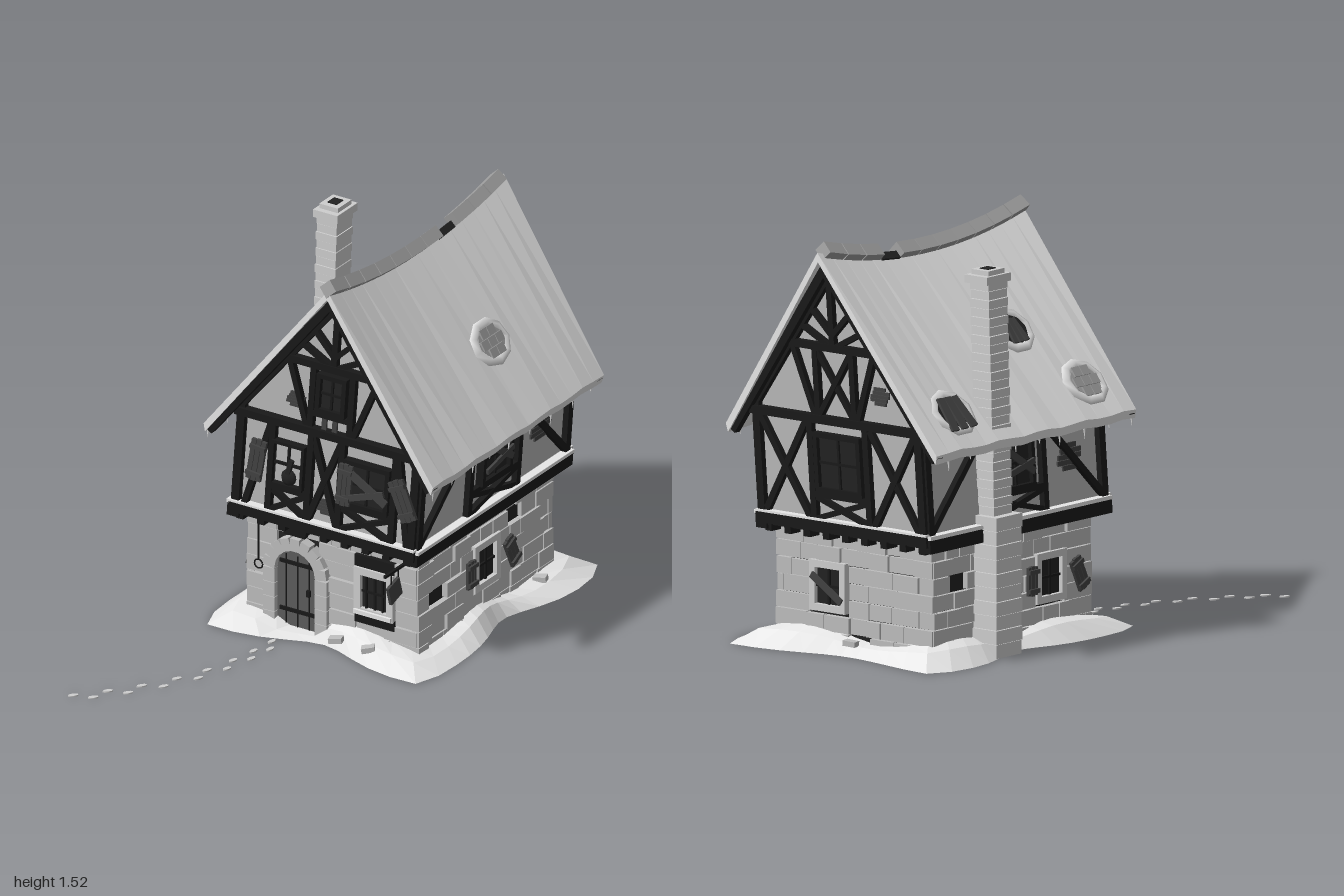
import * as THREE from 'three';

const mat = (name, color) => {
  const m = new THREE.MeshStandardMaterial({ color });
  m.name = name;
  return m;
};
const M = {
  snow: mat('snow', 0xf2f2f2), stone: mat('stone', 0xbebebe), brick: mat('chimneyBrick', 0xcecece),
  plaster: mat('plaster', 0xb8b8b8), timber: mat('timber', 0x191919), door: mat('doorWood', 0x5c5c5c),
  plank: mat('shutterWood', 0x424242), dark: mat('darkOpening', 0x222222), tile: mat('roofTile', 0xa0a0a0),
};
const CZ = -0.385, LEAN = 0.075, PI = Math.PI;
let seed = 7;
const rnd = (a, b) => {
  seed = (seed * 16807) % 2147483647;
  return a + (b - a) * seed / 2147483647;
};

function add(parent, name, geo, m, x = 0, y = 0, z = 0) {
  const o = new THREE.Mesh(geo, m);
  o.name = name;
  o.position.set(x, y, z);
  parent.add(o);
  return o;
}
function box(parent, name, m, w, h, d, x, y, z, rz = 0) {
  const o = add(parent, name, new THREE.BoxGeometry(w, h, d), m, x, y, z);
  o.rotation.z = rz;
  return o;
}
// timber between two points of a wall plane
function beam(p, x1, y1, x2, y2, w = 0.03, z = 0.006, d = 0.034, m = M.timber) {
  return box(p, 'timberBeam', m, Math.hypot(x2 - x1, y2 - y1), w, d, (x1 + x2) / 2, (y1 + y2) / 2, z, Math.atan2(y2 - y1, x2 - x1));
}
function cross(p, x1, y1, x2, y2, w = 0.02) {
  beam(p, x1, y1, x2, y2, w);
  beam(p, x1, y2, x2, y1, w, 0.004);
}
function group(parent, name, x = 0, y = 0, z = 0, ry = 0) {
  const g = new THREE.Group();
  g.name = name;
  g.position.set(x, y, z);
  g.rotation.y = ry;
  parent.add(g);
  return g;
}
// four wall frames whose local z points outward
const walls = (parent, name, hx, hz) => ({
  front: group(parent, name + 'Front', 0, 0, CZ + hz), right: group(parent, name + 'LeftSide', hx, 0, CZ, PI / 2),
  back: group(parent, name + 'Back', 0, 0, CZ - hz, PI), left: group(parent, name + 'RightSide', -hx, 0, CZ, -PI / 2),
});
// skin over rings of points, either closed round or with fan caps
function loft(rings, closed) {
  const n = rings[0].length, pos = rings.flat(2), idx = [], R = rings.length;
  for (let k = 0; k < (closed ? R : R - 1); k++) for (let i = 0; i < n; i++) {
    const j = (i + 1) % n, q = ((k + 1) % R) * n, a = k * n;
    idx.push(a + i, a + j, q + j, a + i, q + j, q + i);
  }
  if (!closed) for (let i = 1; i < n - 1; i++) {
    const l = (R - 1) * n;
    idx.push(0, i + 1, i, l, l + i, l + i + 1);
  }
  const g = new THREE.BufferGeometry();
  g.setAttribute('position', new THREE.Float32BufferAttribute(pos, 3));
  g.setIndex(idx);
  const f = g.toNonIndexed();
  f.computeVertexNormals();
  return f;
}
// stone courses, leaving out rectangles [x1, x2, y1, y2]
function masonry(wall, half, holes) {
  const rows = 7, h = 0.44 / rows;
  for (let r = 0; r < rows; r++) {
    const y = (r + 0.5) * h;
    let x = -half;
    const cuts = holes.filter(o => y > o[2] && y < o[3]).sort((a, b) => a[0] - b[0]);
    for (const [end, next] of [...cuts.map(o => [o[0], o[1]]), [half, half]]) {
      while (x < end - 0.012) {
        let w = rnd(0.06, 0.14);
        if (end - x - w < 0.05) w = end - x;
        const d = rnd(0.022, 0.034);
        box(wall, 'wallStone', M.stone, w - 0.003, h - rnd(0.002, 0.006), d, x + w / 2, y, d / 2 - 0.01);
        x += w;
      }
      x = next;
    }
  }
}
function shutter(p, x, y, w, h, rz = 0) {
  const g = group(p, 'shutter', x, y, 0.035);
  g.rotation.z = rz;
  for (let i = -1; i <= 1; i++) box(g, 'shutterPlank', M.plank, w / 3 - 0.002, h - 0.006 * Math.abs(i), 0.012, i * w / 3, 0, 0);
  for (const s of [-1, 1]) box(g, 'shutterBatten', M.plank, w, 0.016, 0.01, 0, s * h * 0.32, 0.01);
}
function windowAt(p, x, y, w, h, frame, t = 0.018) {
  const g = group(p, 'window', x, y, 0.006);
  box(g, 'windowPane', M.dark, w, h, 0.009, 0, 0, 0.004);
  for (const s of [-1, 1]) {
    box(g, 'windowFrameSide', frame, t, h + t, 0.035, s * w / 2, 0, 0.008);
    box(g, 'windowFrameRail', frame, w + t, t, 0.035, 0, s * h / 2, 0.008);
  }
  box(g, 'mullion', M.timber, 0.009, h, 0.012, 0, 0, 0.01);
  box(g, 'mullionRail', M.timber, w, 0.009, 0.012, 0, 0, 0.01);
  return g;
}
// bare oval of bricks where plaster has fallen off
function brickPatch(p, x, y, k = 1) {
  const g = group(p, 'exposedBricks', x, y, 0.003);
  for (let i = -2; i <= 2; i++) box(g, 'exposedBrick', M.plank, k * (0.085 - 0.008 * i * i), k * 0.012, 0.008, k * 0.006 * (i % 2), i * 0.0135 * k, 0);
}

function groundFloor(root) {
  const g = group(root, 'groundFloor');
  box(g, 'floorSlab', M.dark, 0.72, 0.02, 0.88, 0, 0.43, CZ);
  const W = walls(g, 'stoneWall', 0.35, 0.43);
  for (const [k, w] of Object.entries(W)) box(w, 'wallCore', M.dark, k === 'front' || k === 'back' ? 0.7 : 0.86, 0.43, 0.02, 0, 0.215, -0.01);
  masonry(W.front, 0.367, [[-0.285, -0.015, -1, 0.27], [-0.24, -0.06, 0.27, 0.36], [0.1, 0.27, 0.1, 0.375]]);
  masonry(W.right, 0.447, [[-0.08, 0.08, 0.15, 0.3], [-0.37, -0.26, 0.2, 0.26], [0.15, 0.24, 0.33, 0.39]]);
  masonry(W.back, 0.367, [[-0.21, -0.03, 0.15, 0.3], [-0.03, 0.07, 0.02, 0.06]]);
  masonry(W.left, 0.447, [[0.13, 0.29, 0.15, 0.3], [-0.35, -0.26, 0.26, 0.32]]);
  for (const [w, x] of [[W.right, 0], [W.back, -0.12], [W.left, 0.21]]) {
    windowAt(w, x, 0.23, 0.142, 0.16, M.brick, 0.026);
    if (w === W.back) beam(w, x - 0.07, 0.27, x + 0.07, 0.18, 0.025, 0.035, 0.01, M.plank);
    else {
      shutter(w, x - 0.118, 0.23, 0.055, 0.11);
      shutter(w, x + 0.15, 0.22, 0.06, 0.13, 0.45);
    }
  }
  // arched door with stone surround
  const F = W.front, s = new THREE.Shape();
  s.moveTo(-0.088, 0).lineTo(0.088, 0).lineTo(0.088, 0.235).absarc(0, 0.235, 0.088, 0, PI).closePath();
  add(F, 'door', new THREE.ExtrudeGeometry(s, { depth: 0.015, bevelEnabled: false }), M.door, -0.15, 0, 0);
  for (const y of [0.075, 0.265]) box(F, 'doorHinge', M.timber, 0.15, 0.014, 0.008, -0.15, y, 0.018);
  for (const x of [-0.05, 0, 0.05]) box(F, 'doorSeam', M.timber, 0.004, 0.29, 0.004, -0.15 + x, 0.15, 0.016);
  box(F, 'doorHandle', M.timber, 0.015, 0.025, 0.014, -0.1, 0.16, 0.02);
  for (let i = 0; i < 9; i++) {
    const a = (i + 0.5) * PI / 9;
    box(F, 'archStone', M.stone, 0.05, 0.039, 0.05, -0.15 + 0.111 * Math.cos(a), 0.235 + 0.111 * Math.sin(a), 0.012, a);
  }
  for (const side of [-1, 1]) for (let i = 0; i < 4; i++) box(F, 'jambStone', M.stone, 0.05, 0.056, 0.05, -0.15 + side * 0.112, 0.029 + i * 0.058, 0.012);
  // front window with bars, dark lintel and sill
  const win = windowAt(F, 0.185, 0.235, 0.14, 0.16, M.brick, 0.028);
  for (const x of [-0.035, 0.035]) box(win, 'windowBar', M.timber, 0.006, 0.15, 0.01, x, 0, 0.014);
  box(F, 'windowLintel', M.timber, 0.17, 0.045, 0.03, 0.185, 0.352, 0.008);
  box(F, 'windowSill', M.timber, 0.17, 0.04, 0.03, 0.185, 0.125, 0.008);
  box(F, 'sillSnow', M.snow, 0.16, 0.016, 0.045, 0.185, 0.155, 0.02);
  // hanging sign, lantern ring and bracket over the door
  box(F, 'signBracket', M.timber, 0.01, 0.01, 0.15, 0.315, 0.39, 0.08);
  const sign = box(F, 'hangingSign', M.plank, 0.012, 0.075, 0.075, 0.315, 0.31, 0.09);
  sign.rotation.x = 0.3;
  for (const z of [0.065, 0.11]) box(F, 'signChain', M.timber, 0.004, 0.05, 0.004, 0.315, 0.365, z);
  box(F, 'lampChain', M.timber, 0.005, 0.16, 0.005, -0.31, 0.33, 0.03);
  add(F, 'lampRing', new THREE.TorusGeometry(0.018, 0.003, 5, 12), M.timber, -0.31, 0.23, 0.03);
  box(F, 'doorBracket', M.timber, 0.09, 0.04, 0.04, -0.15, 0.405, 0.02);
}

function upperFloor(root) {
  const W = walls(root, 'timberWall', 0.38, 0.495);
  box(root, 'jettyFloor', M.timber, 0.76, 0.03, 0.99, 0, 0.45, CZ);
  const s = new THREE.Shape([[-0.38, 0.45], [0.38, 0.45], [0.38, 0.9], [0, 1.4], [-0.38, 0.9]].map(p => new THREE.Vector2(...p)));
  for (const [w, bargeZ] of [[W.front, 0.065], [W.back, 0.033]]) {
    add(w, 'gablePlaster', new THREE.ExtrudeGeometry(s, { depth: 0.03, bevelEnabled: false }), M.plaster, 0, 0, -0.03);
    beam(w, -0.4, 0.465, 0.4, 0.465, 0.04, 0.005, 0.05);
    beam(w, -0.4, 0.858, 0.4, 0.858, 0.03, 0.012, 0.045);
    beam(w, -0.2, 1.125, 0.2, 1.125, 0.028, 0.01);
    beam(w, 0, 1.12, 0, 1.4, 0.024);
    box(w, 'ledgeSnow', M.snow, 0.8, 0.008, 0.04, 0, 0.489, 0.012);
    for (const m of [-1, 1]) {
      beam(w, m * 0.378, 0.45, m * 0.378, 0.9, 0.032);
      beam(w, m * 0.38, 0.885, 0, 1.39, 0.03);
      beam(w, m * 0.478, 0.775, 0, 1.418, 0.038, bargeZ, 0.03);
      beam(w, m * 0.15, 1.2, m * 0.015, 1.13, 0.02);
      beam(w, m * 0.1, 1.27, 0, 1.17, 0.02);
      beam(w, m * 0.085, 0.86, m * 0.085, 1.12, 0.024);
      beam(w, m * 0.1, 0.87, m * 0.19, 1.12, 0.022);
    }
    for (let i = 0; i < 9; i++) box(w, 'joistEnd', M.timber, 0.03, 0.035, 0.07, -0.36 + i * 0.09, 0.432, -0.025);
  }
  const F = W.front, B = W.back;
  // front storey
  for (const x of [-0.24, -0.075, 0.06, 0.29]) beam(F, x, 0.48, x, 0.85, 0.025);
  cross(F, -0.07, 0.49, 0.055, 0.84, 0.024);
  for (const [a, b] of [[-0.235, -0.08], [0.065, 0.285]]) {
    beam(F, a, 0.59, b, 0.59, 0.022);
    cross(F, a, 0.49, b, 0.58);
  }
  beam(F, -0.25, 0.84, -0.34, 0.49, 0.024);
  beam(F, 0.3, 0.84, 0.36, 0.49, 0.024);
  windowAt(F, -0.165, 0.69, 0.13, 0.17, M.timber, 0.012);
  for (const [x, y] of [[-0.195, 0.732], [-0.134, 0.732], [-0.195, 0.65], [-0.134, 0.65]]) box(F, 'frostedPane', M.plaster, 0.048, 0.068, 0.008, x, y, 0.0125);
  add(F, 'windowJug', new THREE.SphereGeometry(0.034, 8, 6), M.dark, -0.16, 0.64, 0.015).scale.z = 0.5;
  box(F, 'jugNeck', M.dark, 0.018, 0.06, 0.02, -0.155, 0.685, 0.02, -0.2);
  windowAt(F, 0.175, 0.69, 0.18, 0.17, M.timber);
  beam(F, 0.09, 0.75, 0.27, 0.65, 0.03, 0.038, 0.01, M.plank);
  beam(F, 0.09, 0.63, 0.26, 0.69, 0.024, 0.04, 0.01, M.plank);
  shutter(F, -0.29, 0.685, 0.065, 0.17, -0.1);
  shutter(F, 0.09, 0.685, 0.06, 0.17, -0.03);
  shutter(F, 0.34, 0.685, 0.07, 0.17, 0.45);
  // gable window and worn plaster
  windowAt(F, 0, 1.02, 0.11, 0.14, M.timber);
  beam(F, -0.085, 0.93, 0.085, 0.93, 0.022);
  for (const x of [-0.025, 0.02]) box(F, 'hangingBoard', M.plank, 0.02, 0.07, 0.009, x, 0.895, 0.016);
  for (const [x, y] of [[-0.16, 0.955], [0, 0.555], [0.16, 0.6]]) brickPatch(F, x, y, 0.9);
  // back storey
  for (const m of [-1, 1]) {
    beam(B, m * 0.13, 0.48, m * 0.13, 0.85, 0.026);
    cross(B, m * 0.15, 0.49, m * 0.36, 0.84, 0.024);
  }
  beam(B, -0.13, 0.58, 0.13, 0.58, 0.022);
  cross(B, -0.12, 0.49, 0.12, 0.57);
  cross(B, -0.08, 0.87, 0.08, 1.11);
  windowAt(B, 0, 0.7, 0.2, 0.2, M.timber);
  brickPatch(B, 0.2, 0.97);
  // long sides
  for (const w of [W.right, W.left]) {
    box(w, 'sidePlaster', M.plaster, 0.98, 0.43, 0.03, 0, 0.665, -0.015);
    beam(w, -0.515, 0.448, 0.515, 0.448, 0.05, 0.005, 0.05);
    beam(w, -0.5, 0.79, 0.5, 0.79, 0.03);
    box(w, 'ledgeSnow', M.snow, 1.03, 0.014, 0.045, 0, 0.48, 0.012);
    for (const m of [-1, 1]) {
      beam(w, m * 0.49, 0.46, m * 0.49, 0.85, 0.03);
      beam(w, m * 0.16, 0.48, m * 0.16, 0.8, 0.026);
      beam(w, m * 0.19, 0.79, m * 0.48, 0.5, 0.024);
    }
    windowAt(w, 0, 0.68, 0.18, 0.18, M.timber);
    beam(w, -0.085, 0.75, 0.085, 0.64, 0.026, 0.036, 0.01, M.plank);
    beam(w, -0.085, 0.64, 0.085, 0.68, 0.022, 0.038, 0.01, M.plank);
    beam(w, -0.15, 0.575, 0.15, 0.575, 0.022);
    cross(w, -0.15, 0.49, 0.15, 0.565);
    brickPatch(w, 0.32, 0.655, 1.5);
  }
}

const ridgeY = z => 1.41 + 0.07 * ((z + 0.365) / 0.565) ** 2;
const SLOPE = Math.atan2(0.63, 0.495);
function roof(root) {
  const g = group(root, 'roof'), rings = [];
  for (let k = 0; k <= 16; k++) {
    const z = 0.195 - k * 1.13 / 16, zr = -0.365 + (z + 0.365) * 1.03, y = ridgeY(z), e = 0.8 + 0.004 * Math.sin(k * 1.9), w = 0.495;
    rings.push([[0, y, zr], [w, e, z], [w - 0.008, e - 0.032, z], [0, y - 0.035, zr], [-w + 0.008, e - 0.032, z], [-w, e, z]]);
  }
  add(g, 'snowyRoof', loft(rings, false), M.snow);
  for (let i = 0; i < 11; i++) {
    const z = 0.162 - i * 0.1033, gap = i === 7;
    const t = gap ? box(g, 'ridgeGap', M.dark, 0.03, 0.03, 0.1, 0, ridgeY(z) - 0.012, z, PI / 4) : box(g, 'ridgeTile', M.tile, 0.05, 0.05, 0.1, 0, ridgeY(z) + 0.006, z, PI / 4);
    t.rotation.x = -Math.atan(0.14 * (z + 0.365) / 0.565 ** 2);
  }
  // bare patches in the snow: side, distance down the slope, z, plank size where broken through
  for (const [side, t, z, open] of [[1, 0.57, -0.48, 0], [-1, 0.82, 0.02, 0], [-1, 0.82, -0.73, 0.045], [-1, 0.49, -0.18, 0.026]]) {
    const p = group(g, 'roofPatch', side * 0.495 * t, ridgeY(z) * (1 - t) + 0.8 * t, z);
    p.rotation.z = -side * SLOPE;
    add(p, 'patchBase', new THREE.CylinderGeometry(0.075, 0.075, 0.009, 9), open ? M.dark : M.tile, 0, 0.003, 0).scale.x = 0.8;
    const rim = add(p, 'patchSnowRim', new THREE.TorusGeometry(0.088, 0.025, 4, 9), M.snow, 0, 0.001, 0);
    rim.rotation.x = PI / 2;
    rim.scale.set(0.85, 1, 0.5);
    for (let r = -1; r <= 1; r++) {
      if (open) {
        const b = box(p, 'brokenPlank', M.plank, 0.05 + open * 1.8, 0.01, open * 0.8, side * 0.01, 0.015, r * open, side * r * 0.05);
        b.rotation.y = 0.08 * r;
      } else for (let c = 0; c < 3 - Math.abs(r); c++) box(p, 'roofTile', M.tile, 0.037, 0.008, 0.042, r * 0.04, 0.01, (c - (2 - Math.abs(r)) / 2) * 0.045, -side * 0.08);
    }
  }
  for (const m of [-1, 1]) for (let i = 0; i < 9; i++) {
    const h = rnd(0.02, 0.05);
    add(g, 'icicle', new THREE.ConeGeometry(0.005, h, 5), M.snow, m * 0.482, 0.772 - h / 2, 0.17 - i * 0.13 + rnd(-0.02, 0.02)).rotation.x = PI;
  }
}

function chimney(root) {
  const g = group(root, 'chimney');
  for (let i = 0; i < 10; i++) box(g, 'chimneyBaseStone', M.brick, 0.112 + 0.006 * (i % 2), 0.05, 0.14 + 0.006 * (i % 2), -0.416, 0.026 + i * 0.052, -0.53);
  for (let i = 0; i < 26; i++) {
    const e = 0.005 * (i % 2) + rnd(0, 0.003);
    box(g, 'chimneyCourse', M.brick, 0.082 + e, 0.031, 0.1 + e, -0.403 + i * 0.00105, 0.535 + i * 0.033, -0.53);
  }
  box(g, 'chimneyCap', M.brick, 0.105, 0.03, 0.135, -0.377, 1.385, -0.535);
  box(g, 'chimneyTop', M.brick, 0.08, 0.02, 0.09, -0.377, 1.408, -0.535);
  box(g, 'chimneyFlue', M.dark, 0.04, 0.006, 0.045, -0.377, 1.418, -0.535);
}

function ground(root) {
  const rings = [];
  for (let k = 0; k < 48; k++) {
    const a = -k * 2 * PI / 48, c = Math.cos(a), s = Math.sin(a), r = Math.min(0.36 / (Math.abs(c) + 1e-6), 0.445 / (Math.abs(s) + 1e-6));
    const o = 0.125 + 0.06 * Math.cos(4 * (a - 0.8)) + 0.012 * Math.sin(7 * a) + 0.04 * Math.exp(-(((a + 1.15) / 0.3) ** 2)), x = c * r, z = s * r;
    const door = s > 0 && x > -0.25 && x < -0.05 && z > 0.4;
    const h = door ? 0.012 : 0.062 + 0.02 * Math.sin(5 * a + 1);
    rings.push([[0.97, 0, 0.001], [0.97, 0, h], [1, o * 0.45, h * 0.75], [1, o, 0]].map(([f, d, y]) => [x * f + c * d, y, CZ + z * f + s * d]));
  }
  add(root, 'snowDrift', loft(rings, true), M.snow);
  for (const [x, z, r] of [[0.06, 0.13, 0.3], [0.2, 0.13, 0.5], [0.4, -0.7, 0.3], [-0.02, -0.88, 0.2]]) box(root, 'fallenStone', M.stone, 0.05, 0.02, 0.035, x, 0.045, z, r * 0.4).rotation.y = r;
  // footprints leading away from the door
  const path = new THREE.CatmullRomCurve3([[-0.155, 0.2], [-0.18, 0.38], [-0.245, 0.59], [-0.37, 0.8], [-0.515, 0.975]].map(([x, z]) => new THREE.Vector3(x, 0.003, z)));
  for (let i = 0; i < 15; i++) {
    const p = path.getPoint(i / 14), t = path.getTangent(i / 14), m = i % 2 ? 0.018 : -0.018;
    const f = add(root, 'footprint', new THREE.CylinderGeometry(0.02, 0.02, 0.005, 8), M.brick, p.x + t.z * m, 0.003, p.z - t.x * m);
    f.scale.x = 0.5;
    f.rotation.y = Math.atan2(t.x, t.z);
  }
}

export function createModel() {
  seed = 7;
  const root = new THREE.Group();
  root.name = 'crookedHouse';
  groundFloor(root);
  const upper = group(root, 'leaningUpperHouse');
  upperFloor(upper);
  roof(upper);
  // lean the upper house toward +x
  upper.updateMatrixWorld(true);
  const lean = new THREE.Matrix4().set(1, LEAN, 0, -LEAN * 0.45, 0, 1, 0, 0, 0, 0, 1, 0, 0, 0, 0, 1);
  upper.traverse(o => { if (o.isMesh) o.geometry.applyMatrix4(lean.clone().multiply(o.matrixWorld)); });
  upper.traverse(o => { o.position.set(0, 0, 0); o.rotation.set(0, 0, 0); o.scale.set(1, 1, 1); });
  chimney(root);
  ground(root);
  return root;
}
